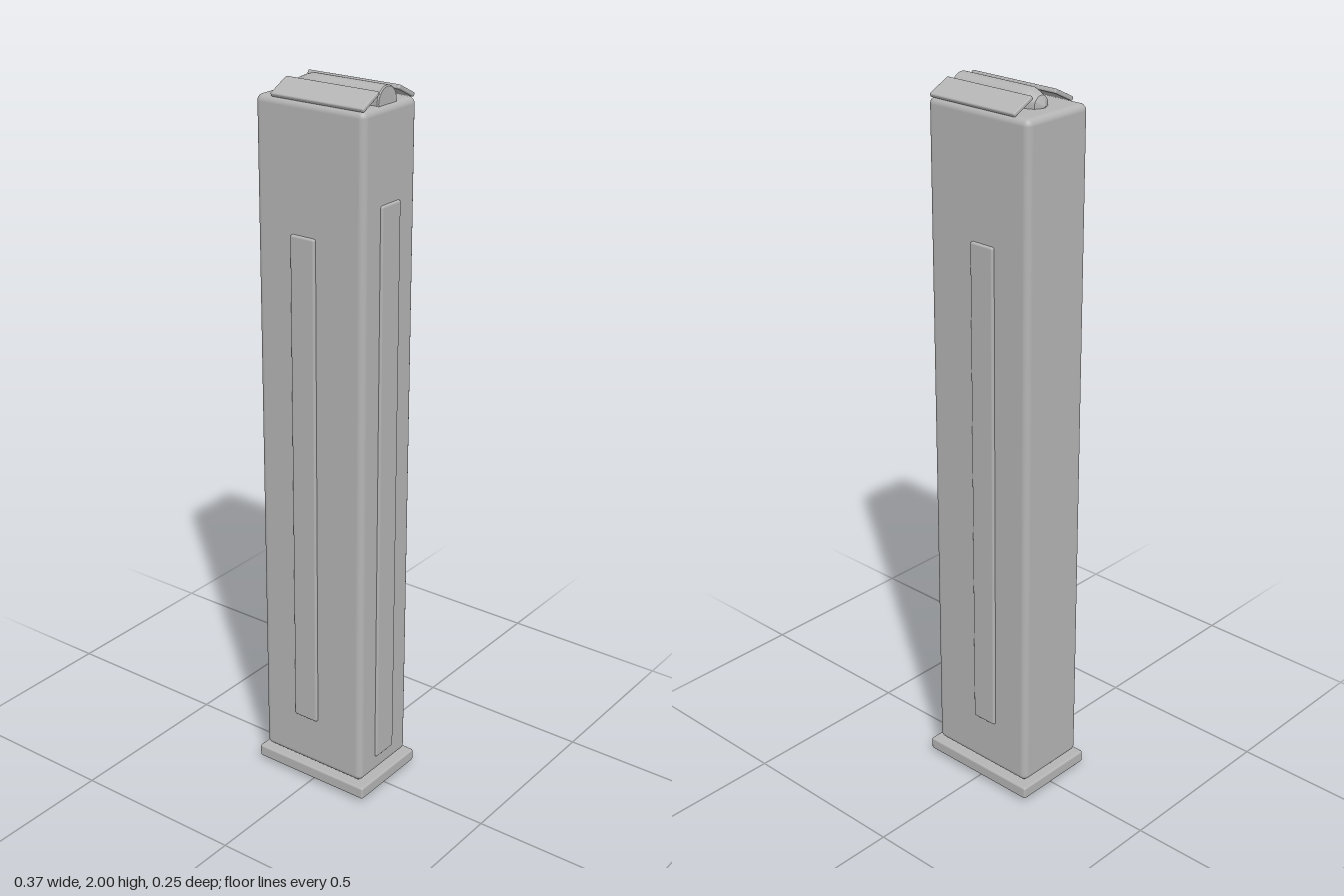
import * as THREE from 'three';
import { RoundedBoxGeometry } from 'three/addons/geometries/RoundedBoxGeometry.js';
import { toCreasedNormals } from 'three/addons/utils/BufferGeometryUtils.js';

export function createModel() {
  const group = new THREE.Group();
  const steel = new THREE.MeshStandardMaterial({ color: 0xb4b4b4 });
  steel.name = 'grey steel';

  function add(name, geometry, x, y, z) {
    const mesh = new THREE.Mesh(geometry, steel);
    mesh.name = name;
    mesh.position.set(x, y, z);
    group.add(mesh);
    return mesh;
  }
  const rounded = (w, h, d, r, seg = 2) => new RoundedBoxGeometry(w, h, d, seg, r);

  // Tall casing with softened corners
  add('casing', rounded(0.336, 1.9, 0.221, 0.018, 4), -0.002, 1.005, 0);

  // Floor plate, its seat and the release button beneath
  add('floorPlate', rounded(0.368, 0.036, 0.25, 0.006), 0, 0.031, -0.001);
  add('floorSeat', new THREE.BoxGeometry(0.3, 0.03, 0.185), -0.002, 0.058, 0);
  add('releaseButton', rounded(0.072, 0.03, 0.05, 0.004), -0.037, 0.015, 0);

  // Raised ribs on both wide faces and on the +x narrow face
  for (const side of [-1, 1]) {
    add(side > 0 ? 'frontRib' : 'backRib',
      rounded(0.077, 1.415, 0.03, 0.006), -0.02, 0.908, side * 0.103);
  }
  add('sideRib', rounded(0.03, 1.606, 0.08, 0.006), 0.157, 0.907, 0);

  // Sloping feed lips along the open top
  for (const side of [-1, 1]) {
    const lip = add(side > 0 ? 'frontLip' : 'backLip',
      rounded(0.283, 0.012, 0.073, 0.004), 0.019, 1.973, side * 0.074);
    lip.rotation.x = side * 0.46;
  }

  // Top round: a lathe about x, with its point towards -x
  const profile = [[0, -0.155], [0.037, -0.155], [0.04, -0.152], [0.04, 0.025], [0.04, 0.075],
    [0.034, 0.092], [0.025, 0.112], [0, 0.125]].map(([r, y]) => new THREE.Vector2(r, y));
  const round = add('topRound',
    toCreasedNormals(new THREE.LatheGeometry(profile, 32), 0.4), 0, 1.96, 0);
  round.rotation.z = Math.PI / 2;

  return group;
}
